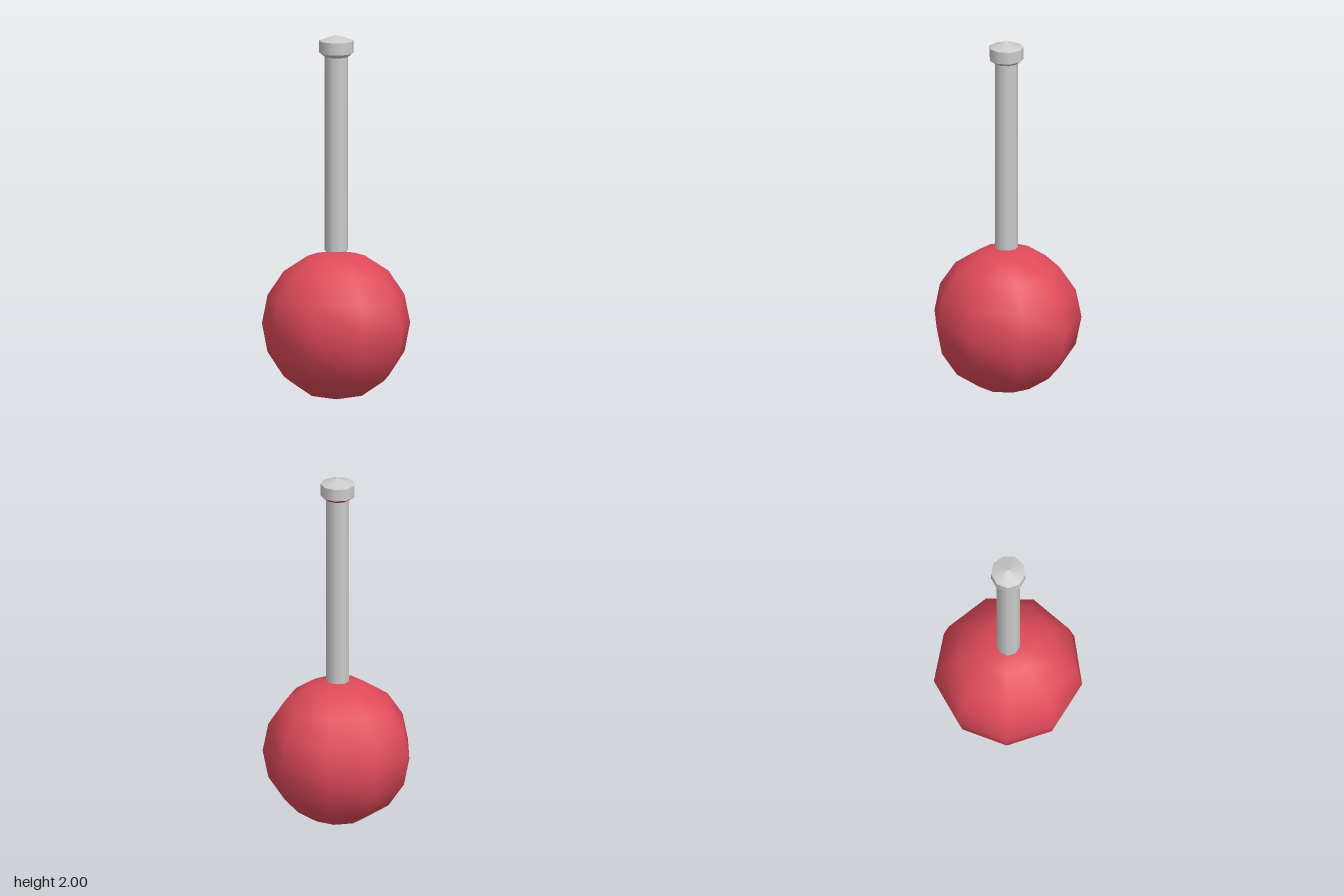
import * as THREE from 'three';

const SIDES = 9;
const STEP = (Math.PI * 2) / SIDES;
const CENTRE_X = -0.013;

const grey = new THREE.MeshStandardMaterial({ color: 0xcccccc });
const red = new THREE.MeshStandardMaterial({ color: 0xe04a5a });
grey.side = red.side = THREE.DoubleSide;

export function createModel() {
  const group = new THREE.Group();
  group.position.x = CENTRE_X;

  const add = (name, geometry, material, y, parent = group) => {
    const mesh = new THREE.Mesh(geometry, material);
    mesh.name = name;
    mesh.position.y = y;
    parent.add(mesh);
  };

  // One nine-sided band, or some of its facets, with a corner pointing at +x
  const band = (name, rTop, rBottom, y0, y1, { from = 0, count = SIDES, open = true, material = grey, parent } = {}) =>
    add(name, new THREE.CylinderGeometry(rTop, rBottom, y1 - y0, count, 1, open,
      Math.PI / 2 + from * STEP, count * STEP), material, (y0 + y1) / 2, parent);

  // Round head
  add('ball', new THREE.SphereGeometry(0.408, SIDES, 8, Math.PI), red, 0.408);

  // Shaft standing on top of the ball
  band('shaft', 0.064, 0.064, 0.817, 1.89, { open: false });

  // End cap: bevelled underside (partly red), upright rim and shallow point
  const cap = new THREE.Group();
  cap.name = 'endCap';
  group.add(cap);
  band('capBevel', 0.094, 0.066, 1.88, 1.9, { from: 4, count: 6, parent: cap });
  band('capBevelRed', 0.094, 0.066, 1.88, 1.9, { from: 1, count: 3, material: red, parent: cap });
  band('capRim', 0.094, 0.094, 1.9, 1.967, { parent: cap });
  band('capPoint', 0, 0.094, 1.967, 2, { parent: cap });

  const model = new THREE.Group();
  model.name = 'knobbedStick';
  model.add(group);
  return model;
}
